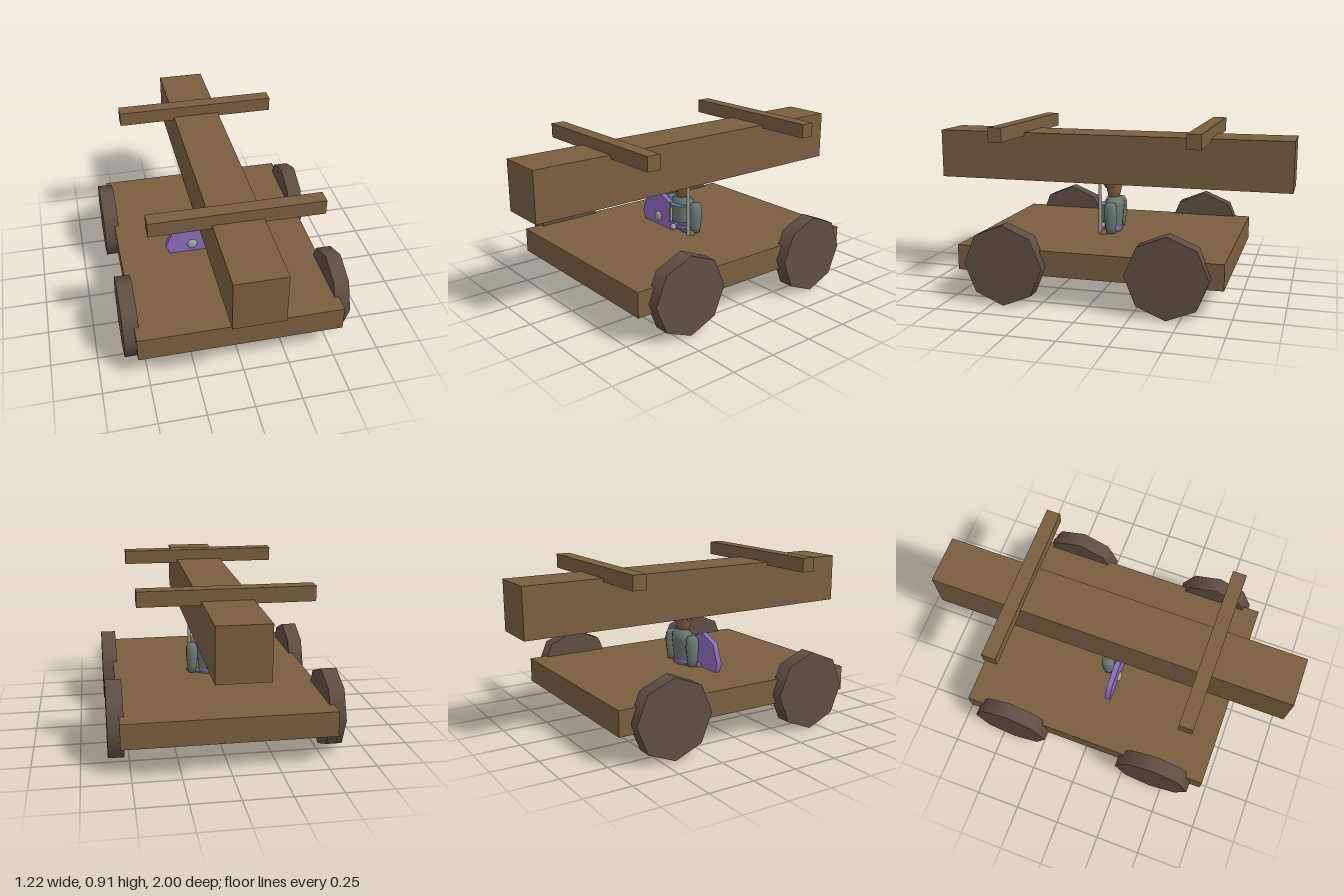
import * as THREE from 'three';

const mat = (name, color, side = THREE.FrontSide) => {
  const m = new THREE.MeshStandardMaterial({ color, side });
  m.name = name;
  return m;
};

export function createModel() {
  const wood = mat('wood', 0x795f40);
  const darkWood = mat('dark wood', 0x5f4f43);
  const cloth = mat('grey green cloth', 0x687a74);
  const purple = mat('purple paint', 0x8b6cbe);
  const metal = mat('pale metal', 0x9ea39b);
  const skin = mat('skin', 0x89603c);
  const dark = mat('dark features', 0x4a3526);

  const root = new THREE.Group();
  root.name = 'wheeledRam';
  const add = (parent, name, geo, material, x = 0, y = 0, z = 0) => {
    const m = new THREE.Mesh(geo, material);
    m.name = name;
    m.position.set(x, y, z);
    parent.add(m);
    return m;
  };
  const box = (w, h, d) => new THREE.BoxGeometry(w, h, d);
  const cyl = (rTop, rBottom, h, n = 12) => new THREE.CylinderGeometry(rTop, rBottom, h, n);
  const ball = (r) => new THREE.SphereGeometry(r, 12, 8);
  const lathe = (pts, n = 14) =>
    new THREE.LatheGeometry(pts.map(([r, y]) => new THREE.Vector2(r, y)), n);

  // Platform, beam and the two cross bars
  add(root, 'platform', box(1.1, 0.135, 1.42), wood, 0, 0.2285, 0);
  add(root, 'beam', box(0.262, 0.272, 2), wood, 0, 0.718, 0);
  for (const s of [1, -1])
    add(root, 'crossBar', box(0.89, 0.078, 0.076), wood, 0, 0.874, s * 0.528);

  // Eight-sided wheels
  for (const sx of [1, -1])
    for (const sz of [1, -1]) {
      const wheel = add(root, 'wheel', cyl(0.215, 0.215, 0.084, 8), darkWood,
        sx * 0.568, 0.216, sz * 0.432);
      wheel.rotation.z = Math.PI / 2;
    }

  // Standing guard
  const guard = new THREE.Group();
  guard.name = 'guard';
  root.add(guard);

  for (const s of [1, -1]) {
    // Legs and boots
    add(guard, 'leg', cyl(0.036, 0.029, 0.21), cloth, s * 0.051, 0.2, 0.005);
    const boot = add(guard, 'boot', cyl(0.031, 0.037, 0.06), darkWood, s * 0.051, 0.075, 0.01);
    boot.scale.z = 0.98;

    // Arms
    const arm = add(guard, 'arm', lathe([[0, 0.3], [0.022, 0.302], [0.027, 0.34],
      [0.033, 0.4], [0.032, 0.45], [0.022, 0.472], [0, 0.478]], 10), cloth, s * 0.108, 0, -0.01);
    arm.scale.z = 1.15;
    add(guard, 'hand', ball(0.022), skin, s * 0.113, 0.298, 0.03);
  }

  // Torso with sloping collar
  const torso = add(guard, 'torso', lathe([[0, 0.27], [0.068, 0.275], [0.066, 0.32],
    [0.075, 0.38], [0.083, 0.44], [0.08, 0.468], [0.045, 0.493], [0, 0.5]]), cloth, 0, 0, -0.005);
  torso.scale.z = 0.62;
  const chest = add(guard, 'chestPlate', cyl(0.068, 0.056, 0.1), cloth, 0.014, 0.403, 0.03);
  chest.scale.z = 0.72;

  // Belt, buckle and dagger
  const belt = add(guard, 'belt', cyl(0.069, 0.069, 0.018), purple, 0, 0.319, 0);
  belt.scale.z = 0.75;
  add(guard, 'buckle', ball(0.018), metal, 0, 0.318, 0.066);
  add(guard, 'dagger', box(0.013, 0.084, 0.012), metal, 0, 0.397, 0.083);

  // Head, ears and face
  const head = add(guard, 'head', lathe([[0, 0.485], [0.038, 0.488], [0.046, 0.515],
    [0.057, 0.56], [0.058, 0.6], [0.046, 0.645], [0, 0.665]]), skin);
  head.scale.z = 0.8;
  for (const s of [1, -1]) {
    const ear = add(guard, 'ear', ball(0.014), skin, s * 0.056, 0.568, 0);
    ear.scale.set(0.6, 1.5, 0.9);
    add(guard, 'eye', box(0.016, 0.008, 0.006), dark, s * 0.027, 0.578, 0.042);
  }
  const nose = add(guard, 'nose', ball(0.015), skin, 0, 0.558, 0.046);
  nose.scale.set(1, 1.4, 0.9);
  add(guard, 'mouth', box(0.024, 0.004, 0.006), dark, 0, 0.524, 0.037);

  // Round shield on the right side
  const shield = add(guard, 'shield', cyl(0.15, 0.15, 0.03, 8), purple, -0.14, 0.345, 0.05);
  shield.rotation.x = Math.PI / 2;
  const boss = add(guard, 'shieldBoss', ball(0.03), metal, -0.14, 0.345, 0.064);
  boss.scale.z = 0.6;

  // Spear on the left side
  add(guard, 'spear', cyl(0.01, 0.01, 0.44, 8), metal, 0.115, 0.46, 0.05);

  return root;
}
